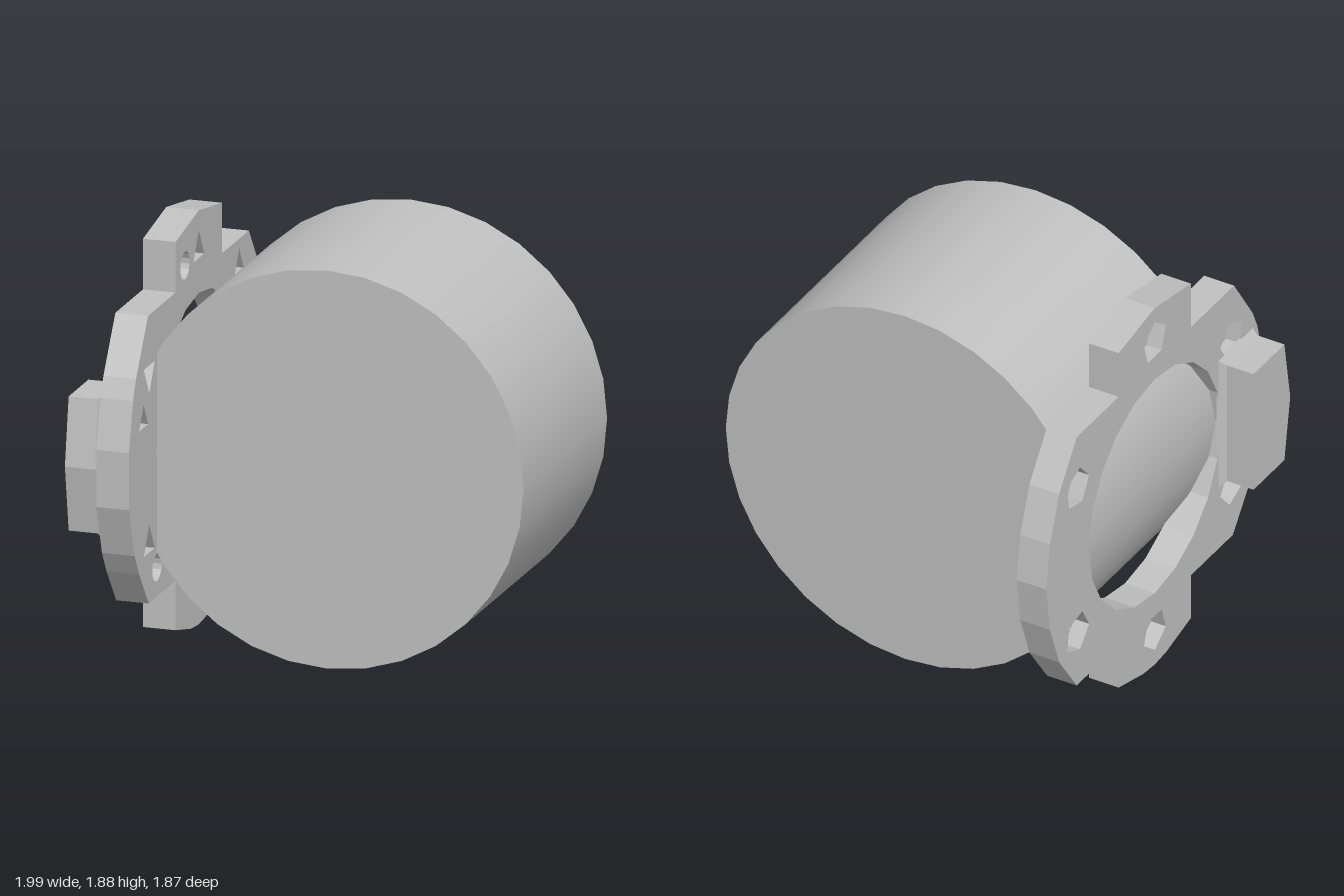
import * as THREE from 'three';

const CY = 0.945; // height of the common axis
const grey = new THREE.MeshStandardMaterial({ color: 0xc0c0c0 });
grey.name = 'plain grey';

// Profiles are given as [z, y] pairs and extruded along x.
const toPath = (pts, Type) => new Type(pts.map(([z, y]) => new THREE.Vector2(-z, y)));

// Regular polygon, as [z, y] pairs
function ngon(cz, cy, r, sides, turn = 0) {
  return Array.from({ length: sides }, (_, i) => {
    const a = THREE.MathUtils.degToRad(turn) + (i / sides) * Math.PI * 2;
    return [cz + r * Math.cos(a), cy + r * Math.sin(a)];
  });
}

// Polygon placed on the bolt circle at a given angle in degrees
function onCircle(angle, dist, r, sides, turn) {
  const a = THREE.MathUtils.degToRad(angle);
  return ngon(dist * Math.cos(a), CY + dist * Math.sin(a), r, sides, angle + turn);
}

function slab(name, outline, holes, x0, x1) {
  const shape = toPath(outline, THREE.Shape);
  shape.holes = holes.map((h) => toPath(h, THREE.Path));
  const geo = new THREE.ExtrudeGeometry(shape, { depth: x1 - x0, bevelEnabled: false });
  geo.rotateY(Math.PI / 2).translate(x0, 0, 0);
  const mesh = new THREE.Mesh(geo, grey);
  mesh.name = name;
  return mesh;
}

export function createModel() {
  const model = new THREE.Group();
  model.name = 'drumWithFlange';

  // Solid drum lying along z
  const drumGeo = new THREE.CylinderGeometry(0.905, 0.905, 1.12, 32);
  drumGeo.rotateX(Math.PI / 2);
  const drum = new THREE.Mesh(drumGeo, grey);
  drum.name = 'drum';
  drum.position.set(0.09, CY, 0);
  model.add(drum);

  // Flange outline: two rounded sides, with a lug above and below
  const outline = [
    [0, 1.885], [0.31, 1.83], [0.31, 1.6], [0.68, 1.6], [0.84, 1.36], [0.88, 1.27],
    [0.935, 1.05], [0.935, 0.79], [0.86, 0.56], [0.8, 0.46], [0.67, 0.29], [0.31, 0.29],
    [0.31, 0.065], [0.1, 0.012], [0, 0.003], [-0.1, 0.012], [-0.31, 0.065], [-0.31, 0.29],
    [-0.67, 0.29], [-0.82, 0.5], [-0.9, 0.72], [-0.93, 0.95], [-0.9, 1.17], [-0.82, 1.39],
    [-0.67, 1.6], [-0.31, 1.6], [-0.31, 1.83],
  ];
  const bore = ngon(0, CY, 0.565, 20);
  const bolts = [30, 90, 150, 210, 270, 330];
  const flange = new THREE.Group();
  flange.name = 'flange';

  // Outer layer has wide bolt openings
  const wide = bolts.map((a) => onCircle(a, 0.765, 0.1, 5, 0));
  flange.add(slab('flangeOuterLayer', outline, [bore, ...wide], -0.84, -0.765));

  // Inner layer has narrow openings, plus blind pockets and round sockets
  const narrow = bolts.map((a) => onCircle(a, 0.765, 0.085, 3, 0));
  const pockets = [15, 135, 255].map((a) => onCircle(a, 0.765, 0.07, 3, 75));
  const sockets = [76, 195, 317].map((a) => onCircle(a, 0.765, 0.063, 16, 0));
  flange.add(slab('flangeInnerLayer', outline, [bore, ...narrow, ...pockets, ...sockets], -0.765, -0.69));
  model.add(flange);

  // Side block on the outer face, with a flared foot
  const block = [[0.575, 0.64], [0.84, 0.64], [0.89, CY], [0.84, 1.25], [0.575, 1.25]];
  model.add(slab('sideBlock', block, [], -1, -0.865));
  const foot = slab('sideBlockFoot', block, [], -0.865, -0.835);
  const pos = foot.geometry.attributes.position;
  for (let i = 0; i < pos.count; i++) {
    if (pos.getX(i) < -0.85) continue;
    pos.setY(i, CY + (pos.getY(i) - CY) * 1.12);
    if (pos.getZ(i) < 0.6) pos.setZ(i, 0.54);
  }
  foot.geometry.computeVertexNormals();
  model.add(foot);

  return model;
}
